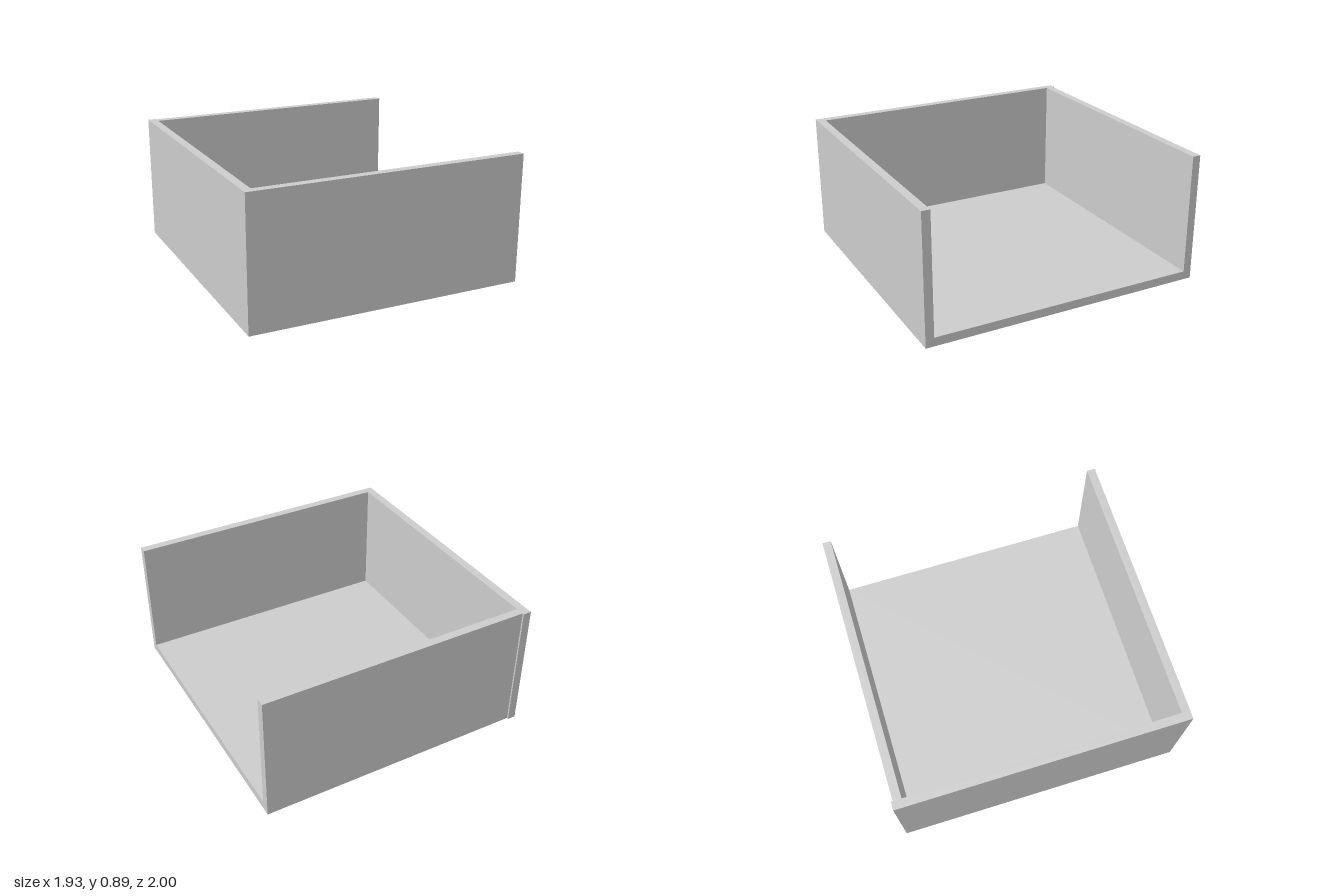
import * as THREE from 'three';

export function createModel() {
  const group = new THREE.Group();
  const material = new THREE.MeshStandardMaterial({ color: 0xcccccc, flatShading: true });

  // Box panel given by its extents along each axis
  function panel(name, [x0, x1], [y0, y1], [z0, z1]) {
    const mesh = new THREE.Mesh(new THREE.BoxGeometry(x1 - x0, y1 - y0, z1 - z0), material);
    mesh.position.set((x0 + x1) / 2, (y0 + y1) / 2, (z0 + z1) / 2);
    mesh.name = name;
    group.add(mesh);
  }

  const side = 0.965, inner = -0.907, height = 0.895, floorTop = 0.06;
  const backOuter = -0.988, backInner = -0.93, frontInner = 0.942;

  // Closed side wall, slightly proud of the back wall at the rear corner
  panel('sideWall', [-side, inner], [0, height], [-1, 1]);
  // Front and back walls, butted against the side wall
  panel('frontWall', [inner, side], [0, height], [frontInner, 1]);
  panel('backWall', [inner, side], [0, height], [backOuter, backInner]);
  // Floor between the walls, open at +x
  panel('floor', [inner, side], [0, floorTop], [backInner, frontInner]);

  return group;
}
